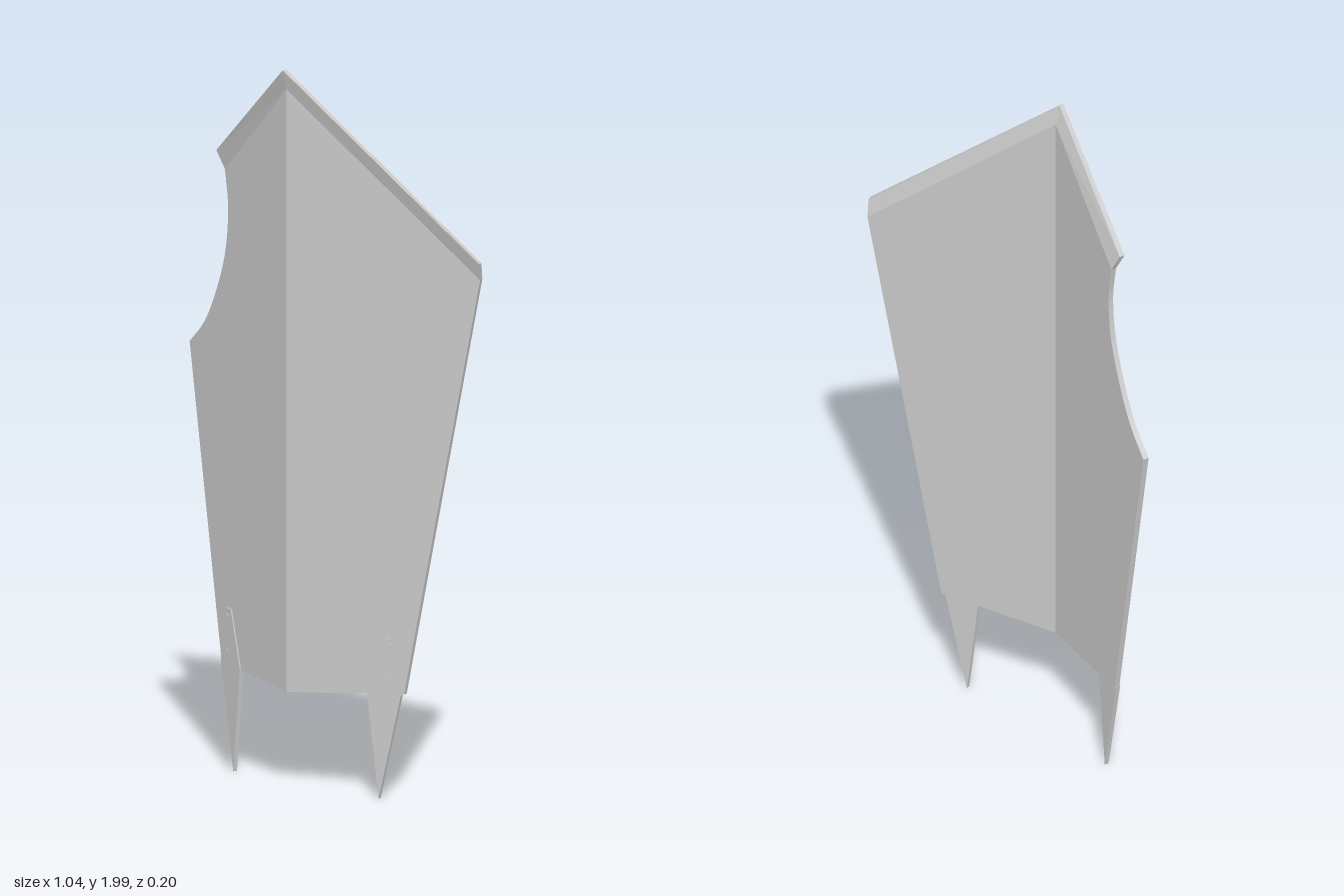
import * as THREE from 'three';

const RIDGE = -0.035;   // x of the vertical fold
const FRONT = 0.085;    // z of the fold's front edge
const SLOPE = 0.317;    // how fast the wings sweep back
const THICK = 0.015;

const foldZ = (x) => FRONT - Math.abs(x - RIDGE) * SLOPE;

// Folded slab from a counter-clockwise outline of {x, y, out, seam} points.
// 'out' pushes a point forward; edges between two seam points or along the fold get no wall.
function slab(name, outline, material, raise = 0, thick = THICK) {
  const front = outline.map((p) => new THREE.Vector3(p.x, p.y, foldZ(p.x) + (p.out || 0) + raise));
  const back = front.map((v) => new THREE.Vector3(RIDGE + (v.x - RIDGE) * 0.99, v.y, v.z - thick));
  const tris = [];
  for (const [a, b, c] of THREE.ShapeUtils.triangulateShape(outline.map((p) => new THREE.Vector2(p.x, p.y)), [])) {
    tris.push(front[a], front[b], front[c], back[a], back[c], back[b]);
  }
  outline.forEach((p, i) => {
    const j = (i + 1) % outline.length, q = outline[j];
    if ((p.seam && q.seam) || (p.x === RIDGE && q.x === RIDGE)) return;
    tris.push(front[i], back[i], back[j], front[i], back[j], front[j]);
  });
  const geometry = new THREE.BufferGeometry().setFromPoints(tris);
  geometry.computeVertexNormals();
  const mesh = new THREE.Mesh(geometry, material);
  mesh.name = name;
  return mesh;
}

const pt = (x, y, out = 0, seam = false) => ({ x, y, out, seam });

export function createModel() {
  const group = new THREE.Group();
  group.name = 'shield';
  const material = new THREE.MeshStandardMaterial({ color: 0xcccccc, flatShading: true });

  // Shared corners
  const bottom = pt(RIDGE, 0.28);
  const peakIn = pt(RIDGE, 1.945, 0, true), peakOut = pt(RIDGE, 2.0, THICK);
  const rightIn = pt(-0.345, 1.665, 0, true), rightOut = pt(-0.37, 1.715, THICK);
  const leftIn = pt(0.512, 1.468, 0, true), leftOut = pt(0.52, 1.515, THICK);

  // Curved notch in the right wing, from the lip down to the outer corner
  const notch = new THREE.CatmullRomCurve3([
    [-0.345, 1.665], [-0.329, 1.56], [-0.345, 1.43], [-0.40, 1.30], [-0.452, 1.22], [-0.523, 1.155],
  ].map(([x, y]) => new THREE.Vector3(x, y, 0))).getPoints(20).slice(1).map((v) => pt(v.x, v.y));

  // Wings of the plate
  group.add(slab('leftWing', [bottom, pt(0.297, 0.303), leftIn, peakIn], material));
  group.add(slab('rightWing', [bottom, peakIn, rightIn, ...notch, pt(-0.362, 0.303)], material));

  // Forward-flared lip along the top edges
  group.add(slab('leftLip', [peakIn, leftIn, leftOut, peakOut], material));
  group.add(slab('rightLip', [peakIn, peakOut, rightOut, rightIn], material));

  // Ground spikes with two small rivets each
  const half = [[0.230, 0.30], [0.263, 0.01], [0.326, 0.30], [0.300, 0.455], [0.276, 0.455]];
  for (const side of [1, -1]) {
    const label = side > 0 ? 'left' : 'right';
    const outline = half.map(([d, y]) => pt(RIDGE + side * d, y));
    if (side < 0) outline.reverse();
    group.add(slab(label + 'Spike', outline, material, 0.004, 0.012));

    for (const y of [0.435, 0.338]) {
      const x = RIDGE + side * 0.293;
      const rivet = new THREE.Mesh(new THREE.CylinderGeometry(0.005, 0.005, 0.008, 8), material);
      rivet.name = label + 'Rivet';
      rivet.position.set(x, y, foldZ(x) + 0.002);
      rivet.quaternion.setFromUnitVectors(
        new THREE.Vector3(0, 1, 0), new THREE.Vector3(side * SLOPE, 0, 1).normalize());
      group.add(rivet);
    }
  }
  return group;
}
